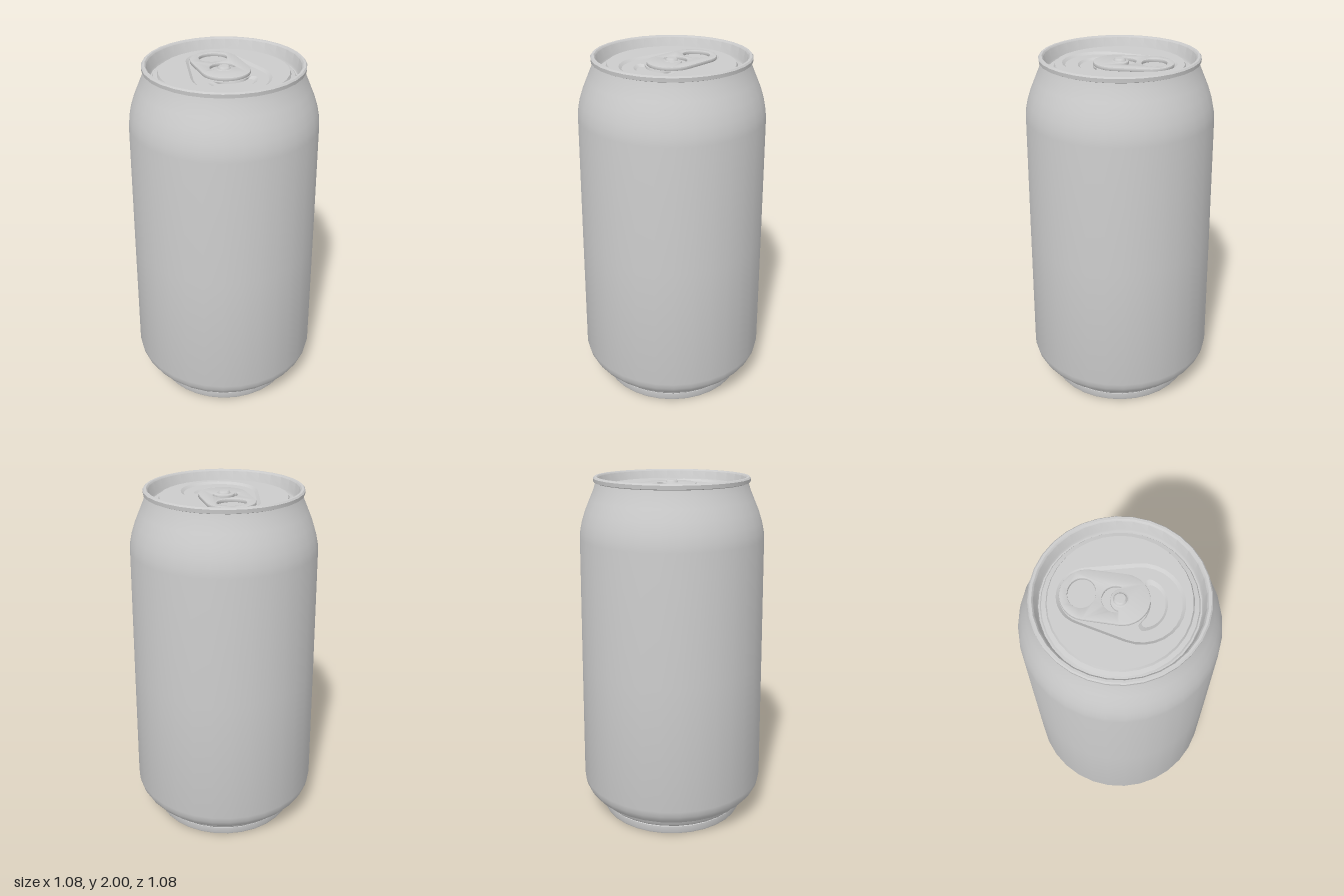
import * as THREE from 'three';
import { toCreasedNormals } from 'three/addons/utils/BufferGeometryUtils.js';

const SIDES = 32;
const metal = new THREE.MeshStandardMaterial({ color: 0xcccccc });
const V = (x, y) => new THREE.Vector2(x, y);

function part(name, geometry, crease = 0.6) {
  const mesh = new THREE.Mesh(toCreasedNormals(geometry, crease), metal);
  mesh.name = name;
  return mesh;
}

// Points along an arc; outlines lie in a plane whose +y becomes -z on the lid
function arc(cx, cy, rx, ry, from, to, n) {
  return Array.from({ length: n + 1 }, (_, i) => {
    const a = from + ((to - from) * i) / n;
    return V(cx + rx * Math.cos(a), cy + ry * Math.sin(a));
  });
}

const circle = (cx, cy, rx, ry, n) => arc(cx, cy, rx, ry, 0, Math.PI * 2, n).slice(0, -1);

// Rounded teardrop: two circles joined by their tangents
function teardrop(cx, y1, r1, y2, r2) {
  const a = Math.asin((r2 - r1) / (y1 - y2));
  return [
    ...arc(cx, y1, r1, r1, a, Math.PI - a, 16),
    ...arc(cx, y2, r2, r2, Math.PI - a, Math.PI * 2 + a, 16),
  ];
}

// Smile-shaped dent, scaled about its own middle
function smile(scale) {
  const half = [[0.07, -0.125], [0.11, -0.102], [0.134, -0.12], [0.112, -0.175], [0.06, -0.213]];
  const right = half.map(([x, y]) => new THREE.Vector3(x, y, 0));
  const left = half.map(([x, y]) => new THREE.Vector3(-x, y, 0));
  const loop = [
    new THREE.Vector3(0, -0.225, 0), ...right.reverse(),
    new THREE.Vector3(0, -0.14, 0), ...left,
  ];
  return new THREE.CatmullRomCurve3(loop, true).getPoints(48).slice(0, -1)
    .map((p) => V(p.x * scale, -0.165 + (p.y + 0.165) * scale));
}

function shapeOf(outline, holes = []) {
  const shape = new THREE.Shape(outline);
  shape.holes = holes.map((h) => new THREE.Path(h));
  return shape;
}

// Flat face at height y
function flat(outline, holes, y) {
  return new THREE.ShapeGeometry(shapeOf(outline, holes)).rotateX(-Math.PI / 2).translate(0, y, 0);
}

// Sloping wall from an outer outline to an inner one with as many points
function slope(outer, y0, inner, y1) {
  const pos = [], index = [], n = outer.length;
  outer.forEach((p) => pos.push(p.x, y0, -p.y));
  inner.forEach((p) => pos.push(p.x, y1, -p.y));
  for (let i = 0; i < n; i++) {
    const j = (i + 1) % n;
    index.push(i, j, n + i, j, n + j, n + i);
  }
  const g = new THREE.BufferGeometry();
  g.setAttribute('position', new THREE.Float32BufferAttribute(pos, 3));
  g.setIndex(index);
  return g;
}

export function createModel() {
  const can = new THREE.Group();
  can.name = 'drinkCan';

  // Can wall: domed underside, stepped foot, tapered side, neck, rim and countersink
  const profile = [
    [0, 0.1], [0.15, 0.092], [0.29, 0.065], [0.365, 0.02], [0.38, 0.004], [0.39, 0],
    [0.41, 0], [0.42, 0.005], [0.425, 0.015], [0.425, 0.052], [0.418, 0.06],
    [0.435, 0.064], [0.45, 0.08], [0.46, 0.12],
    [0.495, 0.124], [0.517, 0.15], [0.532, 0.178], [0.54, 0.215],
    [0.528, 0.95], [0.515, 1.67], [0.511, 1.71], [0.5, 1.76], [0.48, 1.82],
    [0.454, 1.88], [0.43, 1.935], [0.42, 1.968],
    [0.43, 1.972], [0.432, 1.992], [0.425, 2], [0.413, 2], [0.405, 1.992],
    [0.394, 1.935], [0.388, 1.925], [0.38, 1.925], [0.374, 1.935], [0.352, 1.94], [0.345, 1.955],
  ].map(([r, y]) => V(r, y));
  can.add(part('canWall', new THREE.LatheGeometry(profile, SIDES)));

  // Lid panel with a teardrop recess and a dent in its floor
  const PANEL = 1.955, FLOOR = 1.943, DENT = 1.933;
  const lid = new THREE.Group();
  lid.name = 'lid';
  const edge = teardrop(0, 0.155, 0.15, -0.1, 0.21);
  const foot = teardrop(0, 0.155, 0.134, -0.1, 0.194);
  lid.add(
    part('lidPanel', flat(circle(0, 0, 0.345, 0.345, SIDES), [edge], PANEL)),
    part('recessWall', slope(edge, PANEL, foot, FLOOR)),
    part('recessFloor', flat(foot, [smile(1)], FLOOR)),
    part('dentWall', slope(smile(1), FLOOR, smile(0.82), DENT)),
    part('dentFloor', flat(smile(0.82), [], DENT)),
  );
  can.add(lid);

  // Pull tab with a finger hole and a crescent slot around the rivet
  const tab = new THREE.Group();
  tab.name = 'pullTab';
  const crescent = [
    ...arc(0, 0.02, 0.07, 0.07, -0.25, Math.PI + 0.25, 18),
    ...arc(0, 0, 0.055, 0.045, Math.PI, 0, 14),
  ];
  const plate = new THREE.ExtrudeGeometry(
    shapeOf(teardrop(0.005, 0.16, 0.129, -0.01, 0.115 + 0.015), [circle(0.008, 0.185, 0.08, 0.07, 28), crescent]),
    { depth: 0.011, bevelThickness: 0.004, bevelSize: 0.004, bevelOffset: -0.002, bevelSegments: 2 },
  );
  tab.add(part('tabPlate', plate.rotateX(-Math.PI / 2).translate(0, 1.949, 0)));

  // Rivet holding the tab
  const rivet = [[0.045, 1.963], [0.034, 1.966], [0.03, 1.975], [0.025, 1.979], [0, 1.98]];
  tab.add(part('rivet', new THREE.LatheGeometry(rivet.map(([r, y]) => V(r, y)), 20)));
  can.add(tab);

  return can;
}
